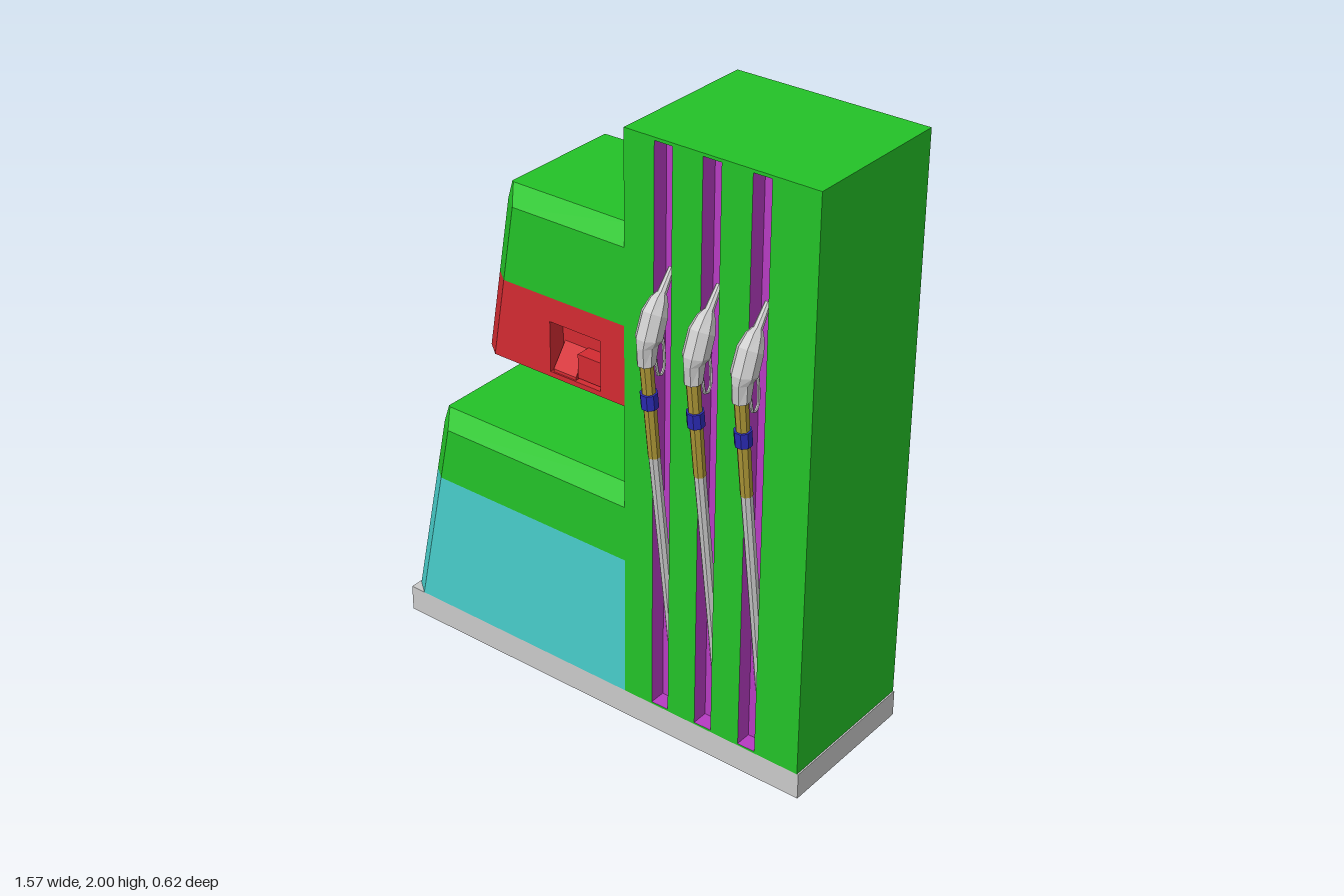
import * as THREE from 'three';

const mat = (color, side = THREE.FrontSide) =>
  new THREE.MeshStandardMaterial({ color, flatShading: true, side });
const GREY = mat(0xcccccc), GREEN = mat(0x24c428), TEAL = mat(0x48cfcc), RED = mat(0xd42b32);
const PURPLE = mat(0xb83cc4), YELLOW = mat(0xb09a38), BLUE = mat(0x2c2cb8);

const BACK = -0.31, FRONT = 0.21;

export function createModel() {
  const model = new THREE.Group();

  const add = (parent, name, geometry, material) => {
    const mesh = new THREE.Mesh(geometry, material);
    mesh.name = name;
    parent.add(mesh);
    return mesh;
  };

  // Box given by its limits; open leaves out the front, inward turns the faces inside
  const box = (x0, x1, y0, y1, z0, z1, open = false, inward = false) => {
    const g = new THREE.BoxGeometry(x1 - x0, y1 - y0, z1 - z0);
    g.translate((x0 + x1) / 2, (y0 + y1) / 2, (z0 + z1) / 2);
    let index = Array.from(g.index.array);
    if (open) index.splice(24, 6);
    if (inward) index = index.reverse();
    g.clearGroups();
    g.setIndex(index);
    return g;
  };

  // Flat front panel with rectangular openings [x0, x1, y0, y1]
  const panel = (corners, openings) => {
    const shape = new THREE.Shape(corners.map(([x, y]) => new THREE.Vector2(x, y)));
    for (const [x0, x1, y0, y1] of openings) {
      shape.holes.push(new THREE.Path([[x0, y0], [x0, y1], [x1, y1], [x1, y0]]
        .map(([x, y]) => new THREE.Vector2(x, y))));
    }
    return new THREE.ShapeGeometry(shape).translate(0, 0, FRONT);
  };

  // Skin over rings that run counter-clockwise seen from the far end
  const loft = (rings, { edges = rings[0].map((_, i) => i), start = false, end = false } = {}) => {
    const n = rings[0].length, index = [];
    for (let r = 0; r < rings.length - 1; r++) {
      for (const i of edges) {
        const a = r * n + i, b = r * n + (i + 1) % n;
        index.push(a, b, b + n, a, b + n, a + n);
      }
    }
    const last = (rings.length - 1) * n;
    for (let i = 1; i < n - 1; i++) {
      if (start) index.push(0, i + 1, i);
      if (end) index.push(last, last + i, last + i + 1);
    }
    const g = new THREE.BufferGeometry();
    g.setAttribute('position', new THREE.Float32BufferAttribute(rings.flat(2), 3));
    g.setIndex(index);
    g.computeVertexNormals();
    return g;
  };

  // Plan outline of a housing: edges 0 front, 1 right, 2 back, 3 and 5 corners, 4 sloped end
  const RIGHT = 0.125;
  const plan = (left, y, inset = 0, cx = 0.05, cz = 0.04) => [
    [left + cx, y, FRONT - inset], [RIGHT, y, FRONT - inset], [RIGHT, y, BACK + inset],
    [left + cx, y, BACK + inset], [left, y, BACK + inset + cz], [left, y, FRONT - inset - cz],
  ];
  const bevelledTop = (left, y) => plan(left, y, 0.045, 0.008, 0.005);

  // Plinth
  add(model, 'base', box(-0.785, 0.785, 0, 0.09, BACK, FRONT), GREY);

  // Tall hose tower with three vertical channels
  const lanes = [0.262, 0.427, 0.592];
  const channels = lanes.map(x => [x - 0.031, x + 0.031, 0.097, 1.99]);
  const tower = new THREE.Group();
  tower.name = 'hoseTower';
  model.add(tower);
  add(tower, 'towerShell', box(RIGHT, 0.78, 0.09, 2, BACK, FRONT, true), GREEN);
  add(tower, 'towerFront', panel([[RIGHT, 0.09], [0.78, 0.09], [0.78, 2], [RIGHT, 2]], channels), GREEN);
  for (const c of channels) add(tower, 'hoseChannel', box(...c, 0.155, FRONT, true, true), PURPLE);

  // Lower cabinet
  const lower = new THREE.Group();
  lower.name = 'lowerCabinet';
  model.add(lower);
  const lowBottom = plan(-0.78, 0.09), lowBand = plan(-0.677, 0.58);
  add(lower, 'cabinetPanels', loft([lowBottom, lowBand], { edges: [0, 2, 3, 5] }), TEAL);
  add(lower, 'cabinetEnd', loft([lowBottom, lowBand], { edges: [4] }), GREEN);
  add(lower, 'cabinetTop', loft([lowBand, plan(-0.637, 0.77), bevelledTop(-0.625, 0.825)], { end: true }), GREEN);

  // Upper display head with a recess in its front
  const head = new THREE.Group();
  head.name = 'displayHead';
  model.add(head);
  const headBottom = plan(-0.425, 1.12), headBand = plan(-0.381, 1.385);
  const recess = [-0.155, 0.035, 1.137, 1.305];
  add(head, 'headBand', loft([headBottom, headBand], { edges: [2, 3, 4, 5], start: true }), RED);
  add(head, 'headFront', panel([[-0.375, 1.12], [RIGHT, 1.12], [RIGHT, 1.385], [-0.331, 1.385]], [recess]), RED);
  add(head, 'headTop', loft([headBand, plan(-0.339, 1.635), bevelledTop(-0.33, 1.69)], { end: true }), GREEN);
  add(head, 'headUnderside', box(-0.38, 0.1, 1.1, 1.12, BACK + 0.03, FRONT - 0.03), RED);
  add(head, 'recess', box(...recess, 0.15, FRONT, true, true), RED);
  add(head, 'keypad', box(-0.058, 0.03, 1.145, 1.225, 0.15, 0.2), RED);
  const wedge = new THREE.Shape([[0.15, 1.137], [0.205, 1.137], [0.205, 1.147], [0.15, 1.22]]
    .map(([z, y]) => new THREE.Vector2(-z, y)));
  add(head, 'slopedTray', new THREE.ExtrudeGeometry(wedge, { depth: 0.085, bevelEnabled: false })
    .rotateY(Math.PI / 2).translate(-0.147, 0, 0), RED);

  // Eight-sided ring at (y, z), half width, half depth, leaning back by tilt
  const ring = ([y, z, hw, hd, tilt]) => Array.from({ length: 8 }, (_, i) => {
    const t = (i + 0.5) * Math.PI / 4, k = 1 / Math.cos(Math.PI / 8);
    const d = -Math.sin(t) * hd * k;
    return [Math.cos(t) * hw * k, y + d * Math.sin(tilt), z + d * Math.cos(tilt)];
  });
  const caps = { start: true, end: true };
  const sleeve = (y0, z0, r0, y1, z1, r1) => {
    const tilt = -Math.atan2(z1 - z0, y1 - y0);
    return loft([ring([y0, z0, r0, r0, tilt]), ring([y1, z1, r1, r1, tilt])], caps);
  };

  // Hose and nozzle for each channel
  for (const x of lanes) {
    const pump = new THREE.Group();
    pump.name = 'hoseAndNozzle';
    pump.position.x = x;
    model.add(pump);
    add(pump, 'hose', sleeve(0.22, 0.135, 0.015, 1.03, 0.244, 0.017), GREY);
    add(pump, 'hoseGrip', sleeve(1.02, 0.243, 0.018, 1.35, 0.282, 0.02), YELLOW);
    add(pump, 'gripBand', sleeve(1.195, 0.264, 0.025, 1.245, 0.27, 0.025), BLUE);
    add(pump, 'nozzleBody', loft([
      [1.343, 0.281, 0.026, 0.026, -0.12],
      [1.4, 0.275, 0.027, 0.036, 0],
      [1.42, 0.27, 0.037, 0.04, 0.2],
      [1.485, 0.245, 0.036, 0.039, 0.5],
      [1.52, 0.225, 0.026, 0.028, 0.65],
      [1.537, 0.213, 0.015, 0.016, 0.65],
    ].map(ring), caps), GREY);
    add(pump, 'spout', sleeve(1.53, 0.218, 0.014, 1.6, 0.167, 0.009), GREY);
    const guard = new THREE.CatmullRomCurve3([
      [1.4, 0.245], [1.33, 0.238], [1.275, 0.222], [1.285, 0.203], [1.36, 0.202], [1.45, 0.222],
    ].map(([y, z]) => new THREE.Vector3(0, y, z)));
    add(pump, 'triggerGuard', new THREE.TubeGeometry(guard, 16, 0.005, 6), GREY);
  }
  return model;
}
